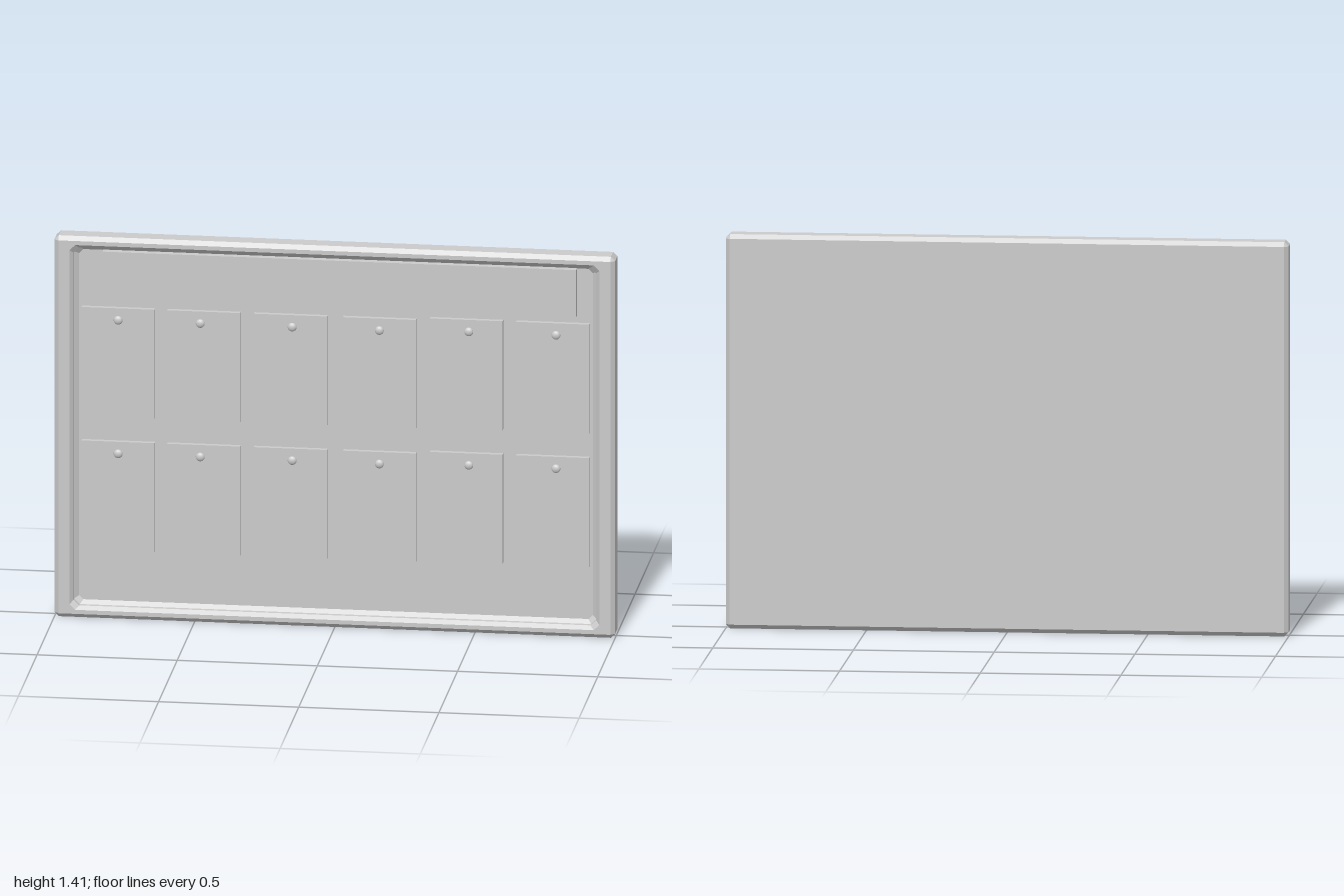
import * as THREE from 'three';

const HEIGHT = 1.41;
const MID = HEIGHT / 2;
const grey = () => new THREE.MeshStandardMaterial({ color: 0xcccccc, flatShading: true });

// Rectangle with cut corners, counter-clockwise seen from the front
function loop(halfW, halfH, cut, z) {
  const w = halfW, h = halfH, c = cut;
  return [
    [w, -h + c], [w, h - c], [w - c, h], [-w + c, h],
    [-w, h - c], [-w, -h + c], [-w + c, -h], [w - c, -h],
  ].map(([x, y]) => [x, y + MID, z]);
}

// Skin a series of loops, closing the first and last with flat caps
function loft(loops) {
  const n = loops[0].length;
  const pos = [];
  const tri = (a, b, c) => pos.push(...a, ...b, ...c);
  for (let k = 0; k < loops.length - 1; k++) {
    const a = loops[k], b = loops[k + 1];
    for (let i = 0; i < n; i++) {
      const j = (i + 1) % n;
      tri(a[i], a[j], b[j]);
      tri(a[i], b[j], b[i]);
    }
  }
  const first = loops[0], last = loops[loops.length - 1];
  for (let i = 1; i < n - 1; i++) {
    tri(first[0], first[i + 1], first[i]);
    tri(last[0], last[i], last[i + 1]);
  }
  const geo = new THREE.BufferGeometry();
  geo.setAttribute('position', new THREE.Float32BufferAttribute(pos, 3));
  geo.computeVertexNormals();
  return geo;
}

function addMesh(parent, name, geo, x = 0, y = 0, z = 0, material = grey()) {
  const mesh = new THREE.Mesh(geo, material);
  mesh.name = name;
  mesh.position.set(x, y, z);
  parent.add(mesh);
  return mesh;
}

export function createModel() {
  const board = new THREE.Group();
  board.name = 'noticeBoard';

  // Bevelled frame, stepping inward to the recessed panel
  const bevel = 0.015;
  addMesh(board, 'frameAndPanel', loft([
    loop(1 - bevel, MID - bevel, 0.001, -0.044),
    loop(1, MID, bevel, -0.03),
    loop(1, MID, bevel, 0.03),
    loop(1 - bevel, MID - bevel, 0.001, 0.044),
    loop(0.945, 0.675, 0.02, 0.044),
    loop(0.932, 0.662, 0.02, 0.03),
    loop(0.932, 0.662, 0.02, 0.014),
    loop(0.916, 0.648, 0.015, 0),
  ]));

  // Header strip
  addMesh(board, 'headerStrip', new THREE.BoxGeometry(1.69, 0.175, 0.03), 0.015, 1.267, 0.012);

  // Two rows of cards, each held by a round pin
  const thick = 0.024;
  const columns = [
    // x, lift, pin offset
    [-0.775, 0, 0], [-0.47, 0, -0.012], [-0.16, 0, 0.006],
    [0.157, 0, 0], [0.467, 0.008, 0.009], [0.775, 0.008, 0.012],
  ];
  const cardGeo = new THREE.BoxGeometry(0.26, 0.404, thick);
  const pinGeo = new THREE.SphereGeometry(0.016, 16, 10);
  const pinMaterial = new THREE.MeshStandardMaterial({ color: 0xcccccc });
  for (const rowY of [0.942, 0.448]) {
    for (const [x, lift, pinX] of columns) {
      const card = new THREE.Group();
      card.name = 'pinnedCard';
      card.position.set(x, rowY + lift, 0.006);
      addMesh(card, 'card', cardGeo);
      const pin = addMesh(card, 'pin', pinGeo, pinX, 0.158, thick / 2, pinMaterial);
      pin.scale.z = 0.6;
      board.add(card);
    }
  }
  return board;
}
